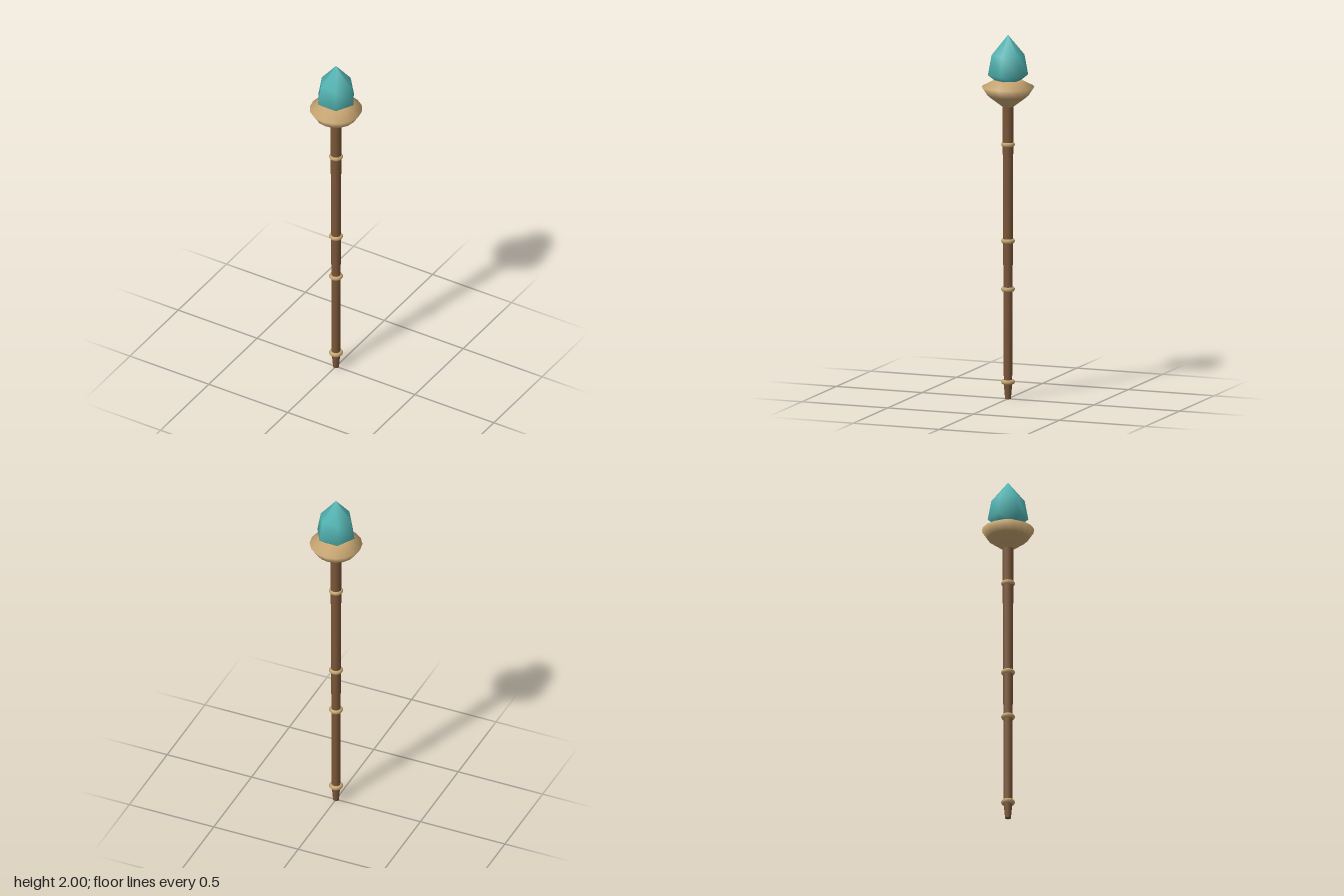
import * as THREE from 'three';

const wood = new THREE.MeshStandardMaterial({ color: 0x7a5638 });
const brass = new THREE.MeshStandardMaterial({ color: 0xc8a672 });
const gem = new THREE.MeshStandardMaterial({ color: 0x52b4b2 });

export function createModel() {
  const staff = new THREE.Group();
  staff.name = 'staff';

  const add = (name, geometry, material, y = 0) => {
    const mesh = new THREE.Mesh(geometry, material);
    mesh.name = name;
    mesh.position.y = y;
    staff.add(mesh);
    return mesh;
  };
  const lathe = (profile, sides) =>
    new THREE.LatheGeometry(profile.map(([r, y]) => new THREE.Vector2(r, y)), sides);

  // Tapered wooden shaft and its narrower foot
  add('shaft', new THREE.CylinderGeometry(0.03, 0.023, 1.56, 12), wood, 0.86);
  add('foot', new THREE.CylinderGeometry(0.023, 0.016, 0.08, 12), wood, 0.04);

  // Metal bands around the shaft
  for (const y of [0.094, 0.603, 0.868, 1.398]) {
    const band = add('band', new THREE.TorusGeometry(0.026, 0.013, 6, 16), brass, y);
    band.rotation.x = Math.PI / 2;
  }

  // Flared cup with a top sloping in to the crystal
  add('cup', lathe([[0, 1.605], [0.03, 1.605], [0.11, 1.665], [0.143, 1.715], [0.07, 1.752], [0, 1.752]], 16), brass);

  // Six-sided crystal, corners on the x axis
  const crystal = add('crystal', lathe([[0, 1.74], [0.065, 1.745], [0.11, 1.78], [0.09, 1.89], [0, 2]], 6), gem);
  crystal.rotation.y = Math.PI / 2;

  return staff;
}
